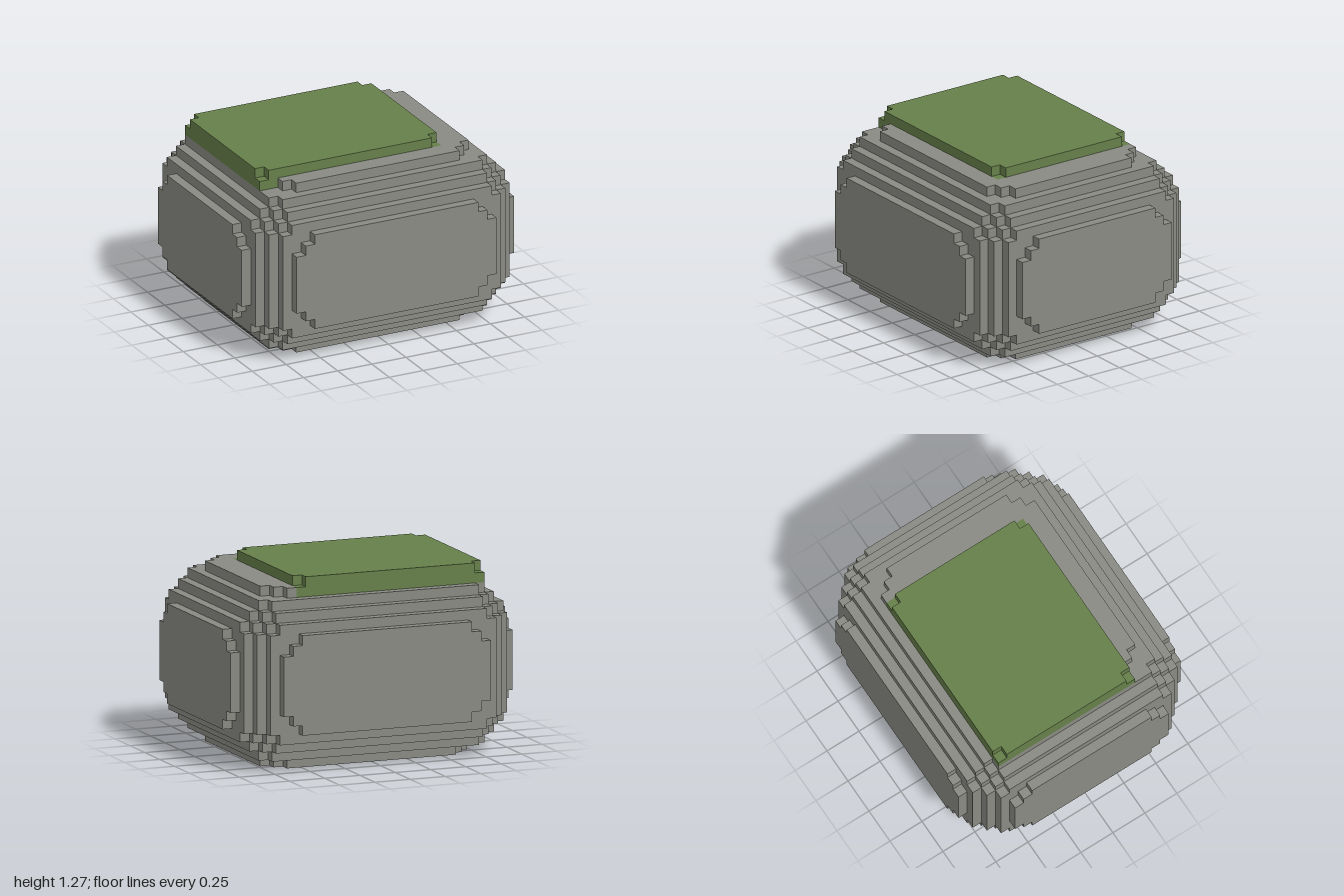
import * as THREE from 'three';

const V = 1 / 15;                        // size of one block
const HX = 15, HZ = 13, H = 18;          // stone half width, half depth and height, in blocks
const ROUND = 6, LIMIT = 40;             // corner rounding radius and squared reach, in blocks
const MOSS = { x0: -12, x1: 8, z0: -9, z1: 7 };

const stone = new THREE.MeshStandardMaterial({ color: 0x8a8a84 });
stone.name = 'stone grey';
const moss = new THREE.MeshStandardMaterial({ color: 0x66804a });
moss.name = 'moss green';

// Half width of the stone in the row that is dy blocks from top/bottom and dz from front/back
function halfWidth(dy, dz) {
  const sq = (d) => Math.max(0, ROUND - d) ** 2;
  for (let dx = 0; dx <= ROUND; dx++) {
    if (sq(dx) + sq(dy) + sq(dz) <= LIMIT) return HX - dx;
  }
  return 0;
}

// Rows of one stone layer, as spans along x
function stoneRows(dy) {
  const rows = [];
  for (let z = -HZ; z < HZ; z++) {
    const w = halfWidth(dy, Math.min(z + HZ, HZ - 1 - z));
    if (w > 0) rows.push({ z0: z, z1: z + 1, x0: -w, x1: w });
  }
  return rows;
}

// Stepped slab made from rows, standing between two heights
function slab(name, rows, y0, y1, material) {
  const runs = [];
  for (const r of rows) {
    const last = runs[runs.length - 1];
    if (last && last.x0 === r.x0 && last.x1 === r.x1) last.z1 = r.z1;
    else runs.push({ ...r });
  }
  const right = runs.flatMap((r) => [[r.x1, r.z0], [r.x1, r.z1]]);
  const left = runs.flatMap((r) => [[r.x0, r.z0], [r.x0, r.z1]]).reverse();
  const shape = new THREE.Shape([...right, ...left].map(([x, z]) => new THREE.Vector2(x * V, z * V)));
  const geometry = new THREE.ExtrudeGeometry(shape, { depth: (y1 - y0) * V, bevelEnabled: false });
  geometry.rotateX(Math.PI / 2).translate(0, y1 * V, 0);
  const mesh = new THREE.Mesh(geometry, material);
  mesh.name = name;
  return mesh;
}

export function createModel() {
  const model = new THREE.Group();
  model.name = 'mossyBoulder';

  // Boulder: stepped layers closing in towards the bottom and top
  const boulder = new THREE.Group();
  boulder.name = 'boulder';
  boulder.add(slab('boulderCore', stoneRows(ROUND), ROUND, H - ROUND, stone));
  for (let d = 0; d < ROUND; d++) {
    boulder.add(slab('lowerLayer', stoneRows(d), d, d + 1, stone));
    const rows = stoneRows(d);
    // The top layer leaves room for the inset moss
    if (d === 0) {
      for (const r of rows) if (r.z0 >= MOSS.z0 && r.z1 <= MOSS.z1) r.x0 = MOSS.x1;
    }
    boulder.add(slab('upperLayer', rows, H - d - 1, H - d, stone));
  }
  model.add(boulder);

  // Moss: an inset base and a cap with notched corners
  const { x0, x1, z0, z1 } = MOSS;
  const patch = new THREE.Group();
  patch.name = 'mossPatch';
  patch.add(slab('mossBase', [MOSS], H - 1, H, moss));
  patch.add(slab('mossCap', [
    { z0, z1: z0 + 1, x0: x0 + 1, x1: x1 - 1 },
    { z0: z0 + 1, z1: z1 - 1, x0, x1 },
    { z0: z1 - 1, z1, x0: x0 + 1, x1: x1 - 1 },
  ], H, H + 1, moss));
  model.add(patch);

  return model;
}
